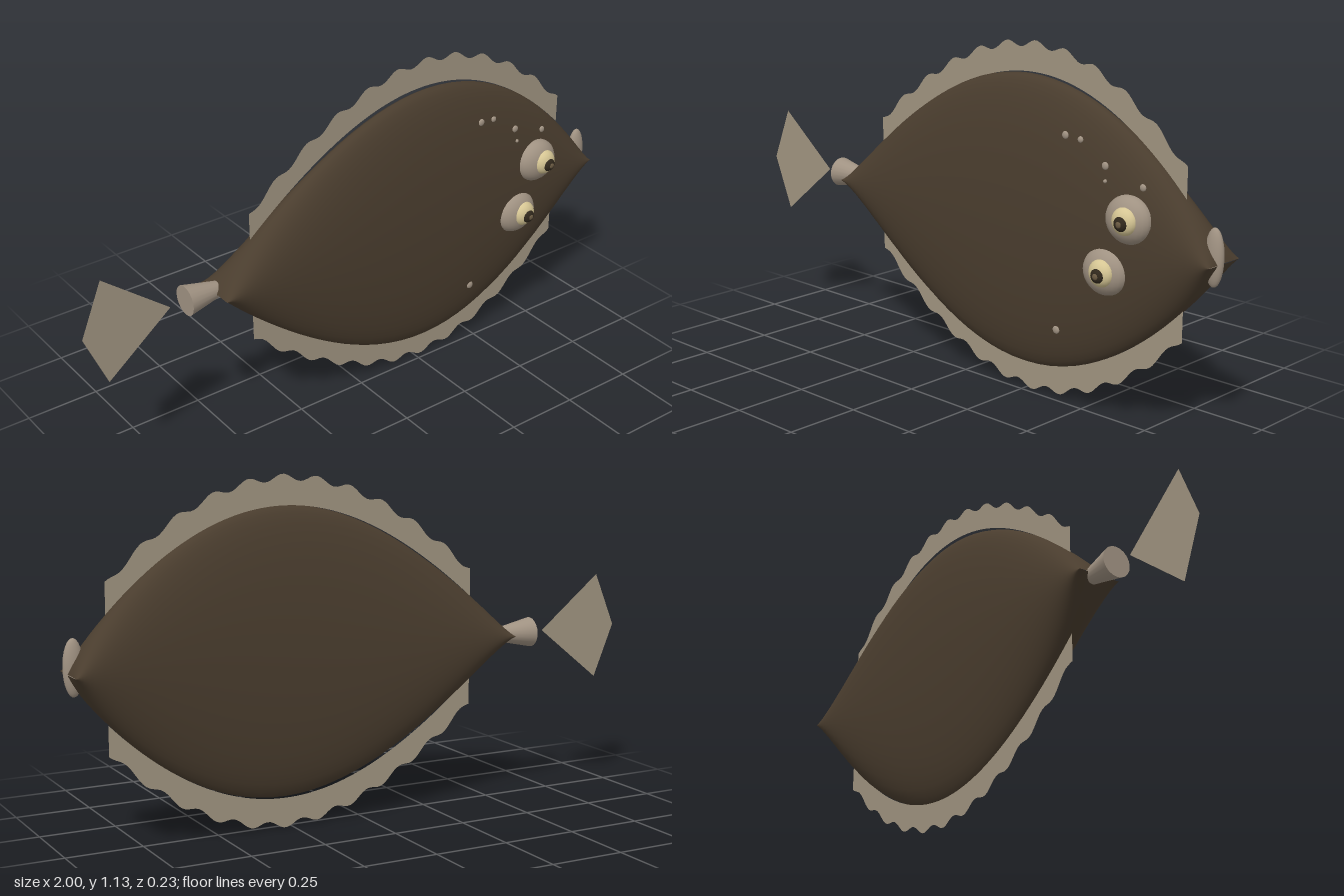
import * as THREE from 'three';

const mat = (name, color, side = THREE.FrontSide) => {
  const m = new THREE.MeshStandardMaterial({ color, side });
  m.name = name;
  return m;
};

const MID = 0.565, X0 = -0.55, X1 = 0.985;
const THICK = 0.075;

// Half height of the leaf-shaped body, and the sideways bend of its midline
const halfHeight = (x) => {
  const t = Math.min(1, Math.max(0, (x - X0) / (X1 - X0)));
  return 0.466 * Math.pow(Math.max(0, Math.sin(Math.PI * Math.pow(t, 1.105))), 0.8);
};
const bend = (x) => -0.003 - 0.046 * (x - 0.1) ** 2;

// z of the eyed side of the body at a given point
const skinZ = (x, y) =>
  bend(x) + THICK * Math.sqrt(Math.max(0, 1 - ((y - MID) / halfHeight(x)) ** 2));

// Elliptical cross-sections that pinch to a vertical point at both ends
function bodyGeometry(rings = 48, sides = 40) {
  const pos = [], index = [];
  for (let i = 0; i <= rings; i++) {
    const x = X0 + (X1 - X0) * (1 - Math.cos((Math.PI * i) / rings)) / 2;
    const h = Math.max(halfHeight(x), 0.001);
    for (let j = 0; j < sides; j++) {
      const a = (j / sides) * Math.PI * 2;
      pos.push(x, MID + h * Math.cos(a), bend(x) + THICK * Math.sin(a));
      if (i === rings) continue;
      const p = i * sides + j, q = i * sides + ((j + 1) % sides);
      index.push(p, q, p + sides, q, q + sides, p + sides);
    }
  }
  const g = new THREE.BufferGeometry();
  g.setAttribute('position', new THREE.Float32BufferAttribute(pos, 3));
  g.setIndex(index);
  g.computeVertexNormals();
  return g;
}

// Flat frill that follows the body outline with a scalloped outer edge
function frillGeometry(sign, steps = 110) {
  const from = -0.412, to = 0.86;
  const inner = [], outer = [];
  for (let i = 0; i <= steps; i++) {
    const x = from + ((to - from) * i) / steps;
    const h = halfHeight(x);
    const wave = 0.011 * Math.cos(((x - 0.275) / 0.118) * Math.PI * 2);
    inner.push(new THREE.Vector2(x, MID + sign * h));
    outer.push(new THREE.Vector2(x, MID + sign * (h + 0.087 + wave)));
  }
  return new THREE.ShapeGeometry(new THREE.Shape([...inner, ...outer.reverse()]));
}

export function createModel() {
  const group = new THREE.Group();
  const skin = mat('dark brown skin', 0x4a3d2e);
  const finMat = mat('tan fin', 0xa09480, THREE.DoubleSide);
  const pale = mat('pale taupe', 0xa09282);
  const irisMat = mat('cream iris', 0xd6c694);
  const pupilMat = mat('dark pupil', 0x30281c);
  const glintMat = mat('brown pupil centre', 0x6a5a42);

  const add = (name, geometry, material, x = 0, y = 0, z = 0, parent = group) => {
    const m = new THREE.Mesh(geometry, material);
    m.name = name;
    m.position.set(x, y, z);
    parent.add(m);
    return m;
  };
  const ball = (rx, ry, rz) => new THREE.SphereGeometry(1, 24, 16).scale(rx, ry, rz);

  add('body', bodyGeometry(), skin);

  // Fins
  add('dorsalFin', frillGeometry(1), finMat, 0, 0, -0.022);
  add('analFin', frillGeometry(-1), finMat, 0, 0, -0.022);
  const tail = new THREE.Shape([
    new THREE.Vector2(-0.7, MID), new THREE.Vector2(-0.925, 0.745),
    new THREE.Vector2(-1, MID), new THREE.Vector2(-0.925, 0.385),
  ]);
  add('tailFin', new THREE.ShapeGeometry(tail), finMat, 0, 0, -0.03);

  // Tail stalk, flaring toward the tail
  const stalk = new THREE.CylinderGeometry(0.05, 0.026, 0.115, 20).rotateZ(Math.PI / 2);
  add('tailStalk', stalk, pale, -0.5875, MID, -0.035);

  // Lips
  add('mouth', ball(0.032, 0.089, 0.021), pale, 0.963, 0.582, -0.021);

  // Both eyes sit on the same side
  for (const [name, x, y] of [['upperEye', 0.706, 0.658], ['lowerEye', 0.624, 0.485]]) {
    const eye = new THREE.Group();
    eye.name = name;
    eye.position.set(x, y, 0.045);
    group.add(eye);
    add('eyeBulge', ball(0.08, 0.074, 0.049), pale, 0, 0, 0, eye);
    add('iris', ball(0.043, 0.043, 0.03), irisMat, 0.01, 0.003, 0.034, eye);
    add('pupil', ball(0.023, 0.023, 0.016), pupilMat, 0.013, 0, 0.056, eye);
    add('pupilCentre', ball(0.01, 0.01, 0.005), glintMat, 0.015, 0, 0.069, eye);
  }

  // Small skin spots
  const spots = [
    [0.457, 0.872, 0.012], [0.513, 0.866, 0.01], [0.61, 0.802, 0.012],
    [0.616, 0.758, 0.006], [0.743, 0.757, 0.011], [0.433, 0.256, 0.013],
  ];
  for (const [x, y, r] of spots) add('skinSpot', ball(r, r, 0.006), pale, x, y, skinZ(x, y));

  return group;
}
